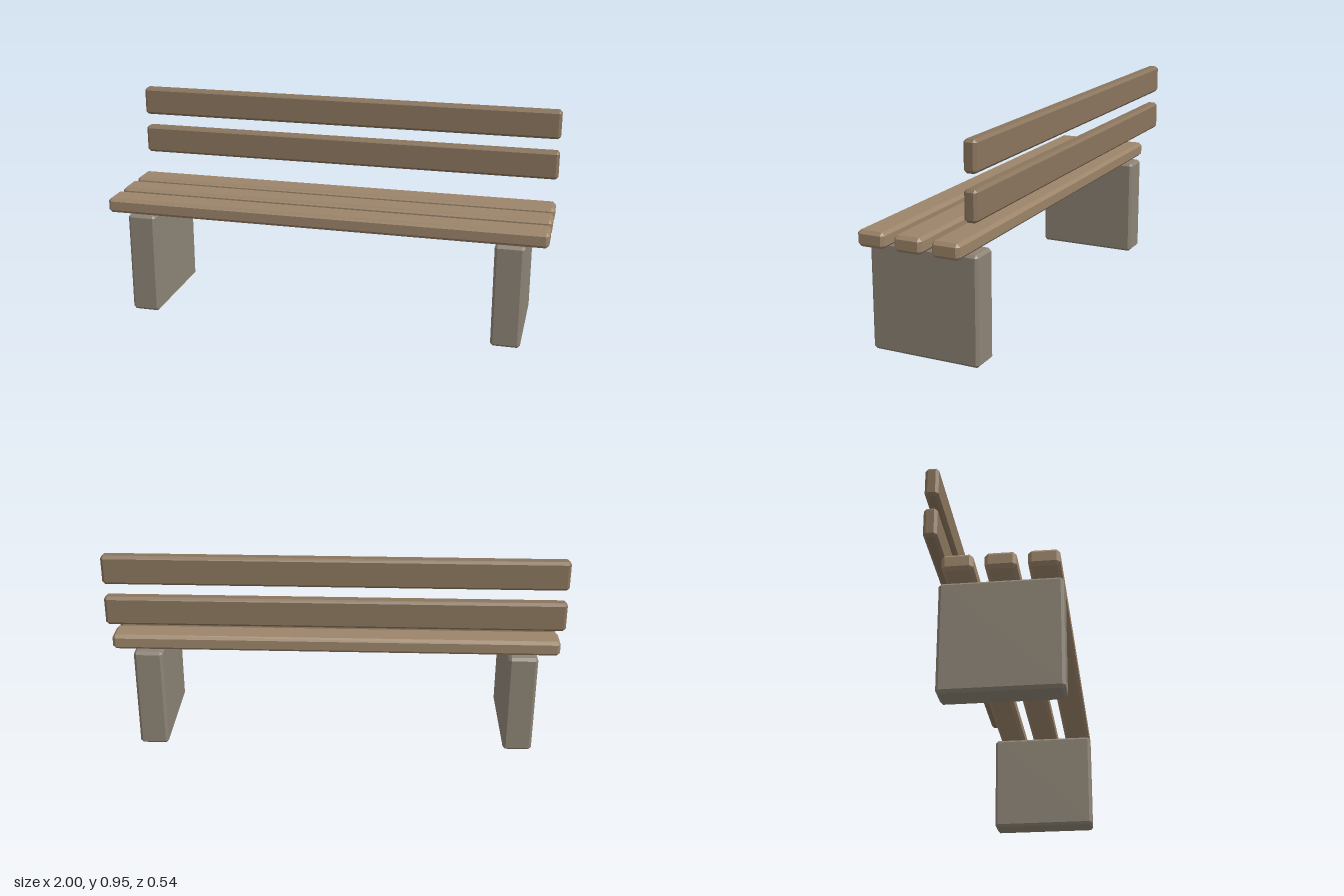
import * as THREE from 'three';
import { ConvexGeometry } from 'three/addons/geometries/ConvexGeometry.js';

// Box with flat chamfers: hull of three inset points per corner
function chamferedBox(w, h, d, c) {
  const points = [];
  for (const sx of [-1, 1]) for (const sy of [-1, 1]) for (const sz of [-1, 1]) {
    const x = w / 2, y = h / 2, z = d / 2;
    points.push(
      new THREE.Vector3(sx * x, sy * (y - c), sz * (z - c)),
      new THREE.Vector3(sx * (x - c), sy * y, sz * (z - c)),
      new THREE.Vector3(sx * (x - c), sy * (y - c), sz * z));
  }
  return new ConvexGeometry(points);
}

export function createModel() {
  const bench = new THREE.Group();
  bench.name = 'bench';
  const paint = (color) => new THREE.MeshStandardMaterial({ color, flatShading: true });
  const seatWood = paint(0x9b8469), backWood = paint(0x8a755d), concrete = paint(0x8c8375);

  const add = (name, geometry, material, x, y, z) => {
    const mesh = new THREE.Mesh(geometry, material);
    mesh.name = name;
    mesh.position.set(x, y, z);
    bench.add(mesh);
  };

  // Concrete slab supports
  const legGeometry = chamferedBox(0.13, 0.47, 0.492, 0.012);
  add('leftLeg', legGeometry, concrete, 0.838, 0.235, 0.026);
  add('rightLeg', legGeometry, concrete, -0.838, 0.235, 0.026);

  // Three seat slats
  const seatGeometry = chamferedBox(2, 0.069, 0.124, 0.014);
  [['frontSeatSlat', 0.205], ['middleSeatSlat', 0.037], ['rearSeatSlat', -0.131]]
    .forEach(([name, z]) => add(name, seatGeometry, seatWood, 0, 0.505, z));

  // Two floating backrest slats
  const backGeometry = chamferedBox(2, 0.131, 0.056, 0.012);
  [['lowerBackSlat', 0.695], ['upperBackSlat', 0.885]]
    .forEach(([name, y]) => add(name, backGeometry, backWood, 0, y, -0.243));

  return bench;
}
